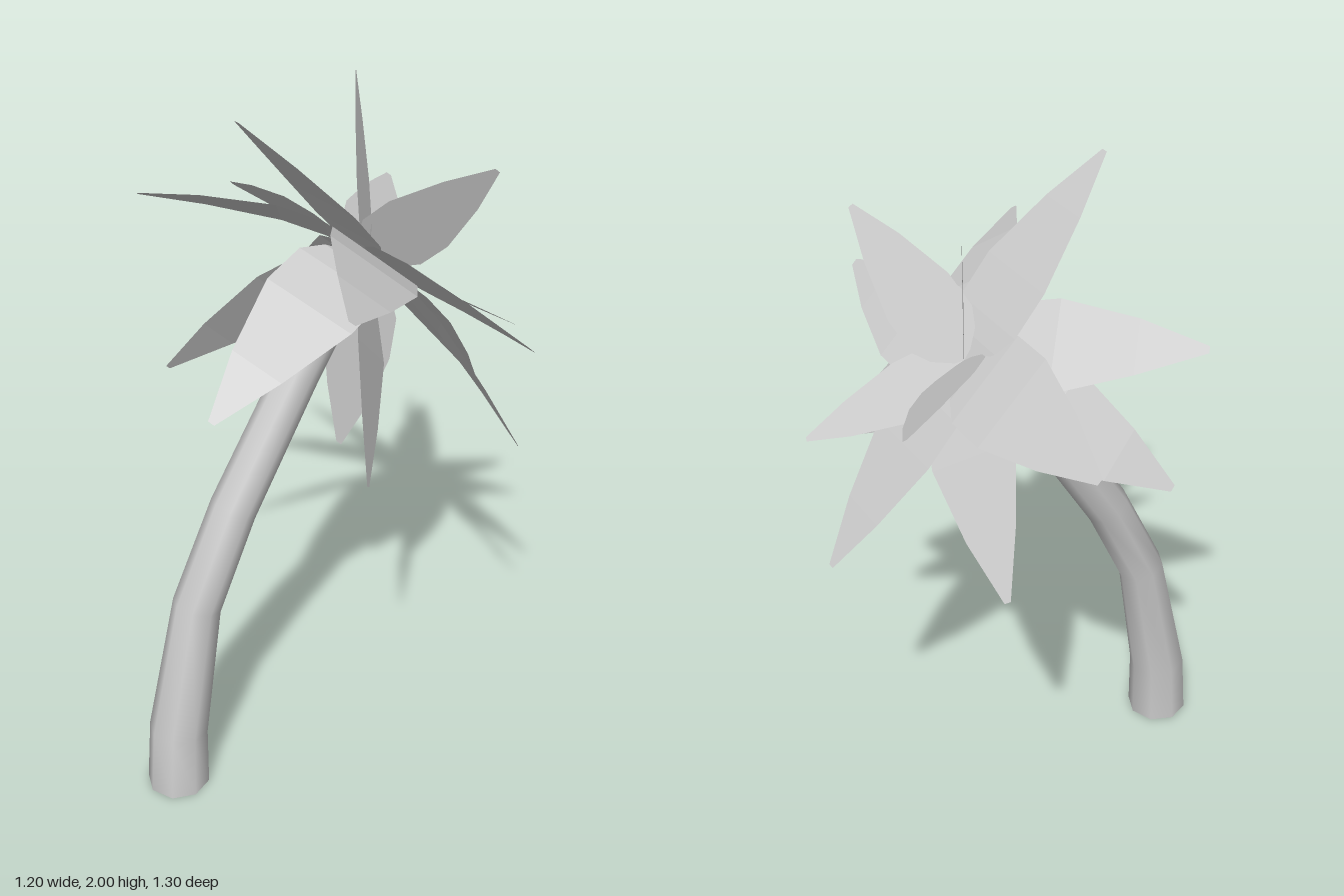
import * as THREE from 'three';

const CROWN = new THREE.Vector3(0.18, 1.51, 0);
const AXIS = new THREE.Vector3(1, 1, 0).normalize(); // the crown leans along +x
// [position along leaf, half width]
const LEAF = [[0, 0.02], [0.1, 0.1], [0.2, 0.137], [0.41, 0.137], [0.73, 0.08], [1, 0.01]];

// Surface joining equal-length rows of points
function loft(rows, closed) {
  const n = rows[0].length, pos = [], idx = [];
  rows.forEach(r => r.forEach(p => pos.push(p.x, p.y, p.z)));
  for (let i = 0; i < rows.length - 1; i++) {
    for (let j = 0; j < (closed ? n : n - 1); j++) {
      const a = i * n + j, b = i * n + (j + 1) % n;
      idx.push(a, b, a + n, b, b + n, a + n);
    }
  }
  const g = new THREE.BufferGeometry();
  g.setAttribute('position', new THREE.Float32BufferAttribute(pos, 3));
  g.setIndex(idx);
  g.computeVertexNormals();
  return g;
}

// Flat-sectioned blade from the crown to a tip, arched most near its base
function leafGeometry([x, y, z, arch], widthScale) {
  const span = new THREE.Vector3(x, y, z).sub(CROWN);
  const side = AXIS.clone().cross(span).normalize();
  const up = span.clone().cross(side).normalize();
  const rows = LEAF.map(([t, w]) => {
    const c = CROWN.clone().addScaledVector(span, t)
      .addScaledVector(up, arch * Math.sin(Math.PI * t ** 0.7));
    return [-1, 1].map(s => c.clone().addScaledVector(side, s * w * widthScale));
  });
  return loft(rows, false);
}

export function createModel() {
  const model = new THREE.Group();
  const bark = new THREE.MeshStandardMaterial({ color: 0xcccccc, side: THREE.DoubleSide });
  const blade = new THREE.MeshStandardMaterial({ color: 0xcccccc, flatShading: true, side: THREE.DoubleSide });

  // Bent, tapering eight-sided trunk, open at the foot: x, y, radius, lean of the ring
  const rings = [
    [-0.51, 0, 0.092, 0], [-0.5, 0.195, 0.086, 0.12], [-0.418, 0.605, 0.07, 0.32],
    [-0.285, 0.88, 0.067, 0.54], [-0.058, 1.24, 0.062, 0.59], [0.1, 1.45, 0.052, 0.62],
  ].map(([x, y, r, lean]) => Array.from({ length: 8 }, (_, k) => {
    const a = k * Math.PI / 4, u = r * Math.cos(a);
    return new THREE.Vector3(x + u * Math.cos(lean), y - u * Math.sin(lean), -r * Math.sin(a));
  }));
  const trunk = new THREE.Mesh(loft(rings, true), bark);
  trunk.name = 'trunk';
  model.add(trunk);

  // Leaf tiers: each tip is x, y, z and the arch height of its leaf
  const tiers = [
    { name: 'middleStraightLeaf', width: 1.02,
      tips: [[0.18, 1.51, 0.65, 0.02], [0.18, 1.51, -0.65, 0.02], [-0.24, 2, 0, 0.02], [0.6, 1, 0, 0.02]] },
    { name: 'middleDroopingLeaf', width: 1,
      tips: [[-0.25, 1.65, 0.475, 0.055], [-0.25, 1.65, -0.475, 0.055],
        [0.33, 1.09, 0.475, 0.035], [0.33, 1.09, -0.475, 0.035]] },
    { name: 'upperLeaf', width: 0.78,
      tips: [[0.523, 1.56, -0.33, 0], [0.555, 1.275, 0.205, 0], [0.285, 1.965, -0.195, 0], [0.32, 1.845, 0.34, 0]] },
    { name: 'lowerLeaf', width: 1,
      tips: [[-0.45, 1.295, 0.16, 0.08], [-0.255, 1.16, -0.355, 0.03], [-0.08, 1.05, 0.34, 0.01], [0.125, 0.915, -0.05, 0]] },
  ];
  const leaves = new THREE.Group();
  leaves.name = 'leaves';
  for (const tier of tiers) {
    for (const tip of tier.tips) {
      const leaf = new THREE.Mesh(leafGeometry(tip, tier.width), blade);
      leaf.name = tier.name;
      leaves.add(leaf);
    }
  }
  model.add(leaves);
  return model;
}
